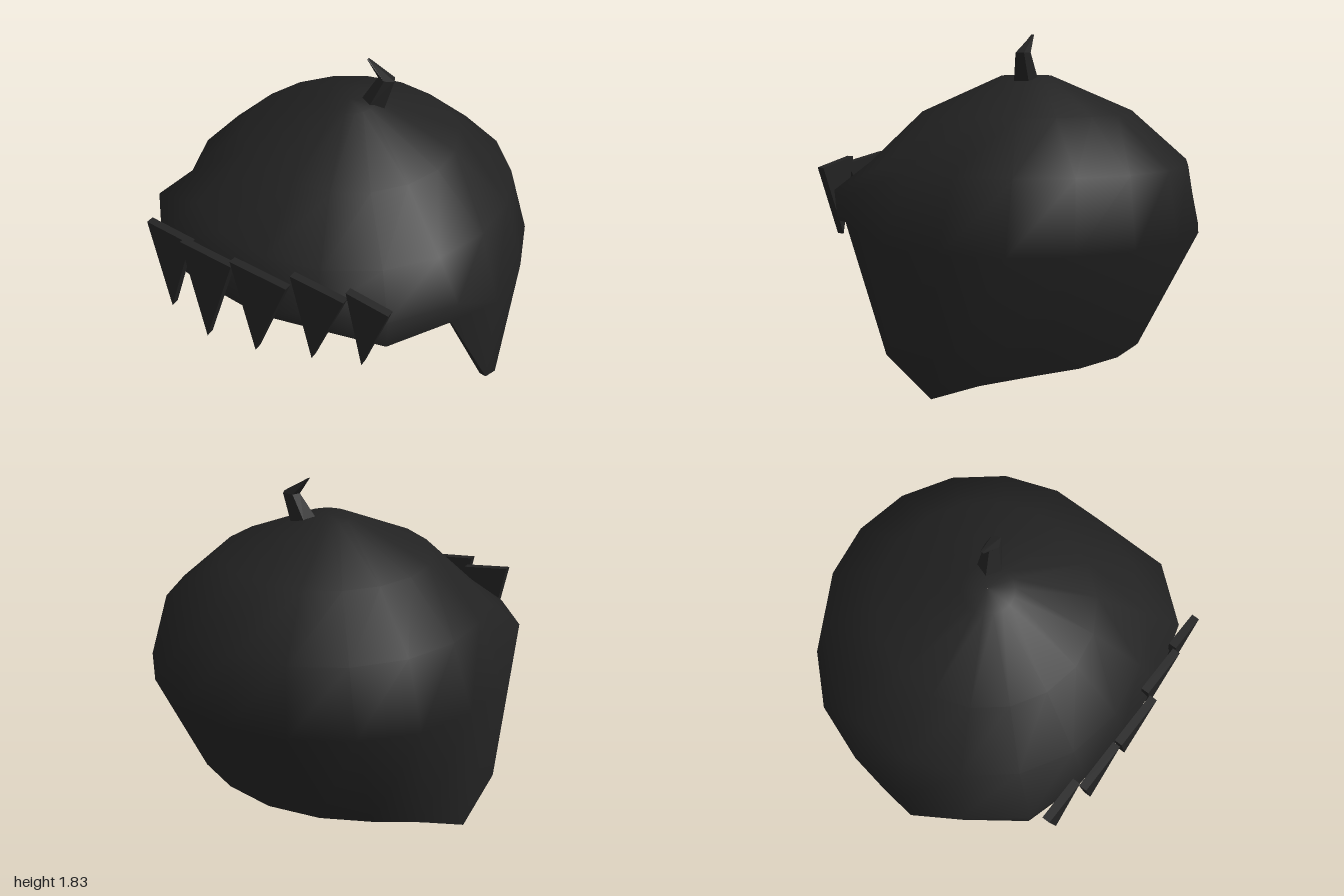
import * as THREE from 'three';

const COLS = 18;
const hair = new THREE.MeshStandardMaterial({ color: 0x222222 });
hair.name = 'black hair';

// Widest points and hem points, from the front centre round to the back centre
const WIDEST = [[0, 0.96, 0.92], [0.34, 0.96, 0.91], [0.69, 0.97, 0.81], [0.93, 0.98, 0.52], [1, 0.76, 0.17],
  [0.985, 0.76, -0.18], [0.87, 0.76, -0.51], [0.64, 0.76, -0.76], [0.335, 0.76, -0.92], [0, 0.76, -0.975]];
const HEM = [[0, 0.8, 0.92], [0.35, 0.84, 0.9], [0.68, 0.8, 0.8], [0.9, 0.845, 0.52], [0.98, 0.2, 0.17],
  [0.935, 0, -0.09], [0.77, 0.06, -0.27], [0.56, 0.09, -0.45], [0.3, 0.09, -0.57], [0, 0.09, -0.62]];

// Mirrors a half table into a full loop
const loopOf = half => Array.from({ length: COLS }, (_, c) => {
  const [x, y, z] = half[c <= COLS / 2 ? c : COLS - c];
  return [c <= COLS / 2 ? x : -x, y, z];
});

// A level ring of the crown
const ring = (radius, y, cz) => Array.from({ length: COLS }, (_, c) => {
  const a = (c / COLS) * Math.PI * 2;
  return [Math.sin(a) * radius, y, cz + Math.cos(a) * radius];
});

// Joins closed loops, listed from top to bottom, into a surface
function loft(loops, inward = false) {
  const n = loops[0].length, index = [];
  for (let r = 0; r < loops.length - 1; r++) {
    for (let c = 0; c < n; c++) {
      const d = (c + 1) % n;
      const a = r * n + c, b = a + n, e = r * n + d, f = e + n;
      if (inward) index.push(a, e, b, b, e, f);
      else index.push(a, b, e, b, f, e);
    }
  }
  const geometry = new THREE.BufferGeometry();
  geometry.setAttribute('position', new THREE.Float32BufferAttribute(loops.flat(2), 3));
  geometry.setIndex(index);
  geometry.computeVertexNormals();
  return geometry;
}

export function createModel() {
  const group = new THREE.Group();
  group.name = 'hair';
  const add = (name, geometry) => {
    const mesh = new THREE.Mesh(geometry, hair);
    mesh.name = name;
    group.add(mesh);
    return mesh;
  };

  // Hollow cap: outer surface, inner surface and the hem between them
  const outer = [ring(0.001, 1.605, -0.01), ring(0.14, 1.6, -0.01), ring(0.585, 1.405, -0.02),
    ring(0.885, 1.13, -0.035), loopOf(WIDEST), loopOf(HEM)];
  const inner = outer.map((loop, r) => loop.map(([x, y, z]) =>
    [x * 0.96, r > 3 ? y : y - 0.04, z * 0.96]));
  add('outerCap', loft(outer));
  add('innerCap', loft(inner, true));
  add('hem', loft([outer[5], inner[5]]).toNonIndexed()).geometry.computeVertexNormals();

  // Pointed fringe locks: left x, right x, right y, tip x, tip y, back z
  const locks = [[-0.68, -0.41, 1.1, -0.575, 0.61, 0.875], [-0.43, -0.12, 1.1, -0.31, 0.55, 0.925],
    [-0.12, 0.21, 1.1, 0.005, 0.6, 0.93], [0.2, 0.505, 1.1, 0.315, 0.645, 0.875],
    [0.5, 0.735, 1.095, 0.59, 0.705, 0.845]];
  locks.forEach(([x0, x1, y1, tx, ty, z], i) => {
    const shape = new THREE.Shape([[x0, 1.14], [tx, ty], [x1, y1]].map(p => new THREE.Vector2(...p)));
    const geometry = new THREE.ExtrudeGeometry(shape, { depth: 0.045, bevelEnabled: false });
    add('fringeLock' + (i + 1), geometry).position.z = z;
  });

  // Bent tuft on the crown
  const section = (x, y, z, rx, rz, tilt) => Array.from({ length: 5 }, (_, i) => {
    const a = (i / 5) * Math.PI * 2;
    return [x + Math.sin(a) * rx, y + Math.sin(a) * tilt, z + Math.cos(a) * rz];
  });
  const tuft = loft([section(0.06, 1.825, -0.095, 0.003, 0.01, 0), section(0.17, 1.73, -0.108, 0.052, 0.038, 0),
    section(0.113, 1.585, -0.08, 0.073, 0.07, -0.01)]).toNonIndexed();
  tuft.computeVertexNormals();
  add('crownTuft', tuft);

  return group;
}
